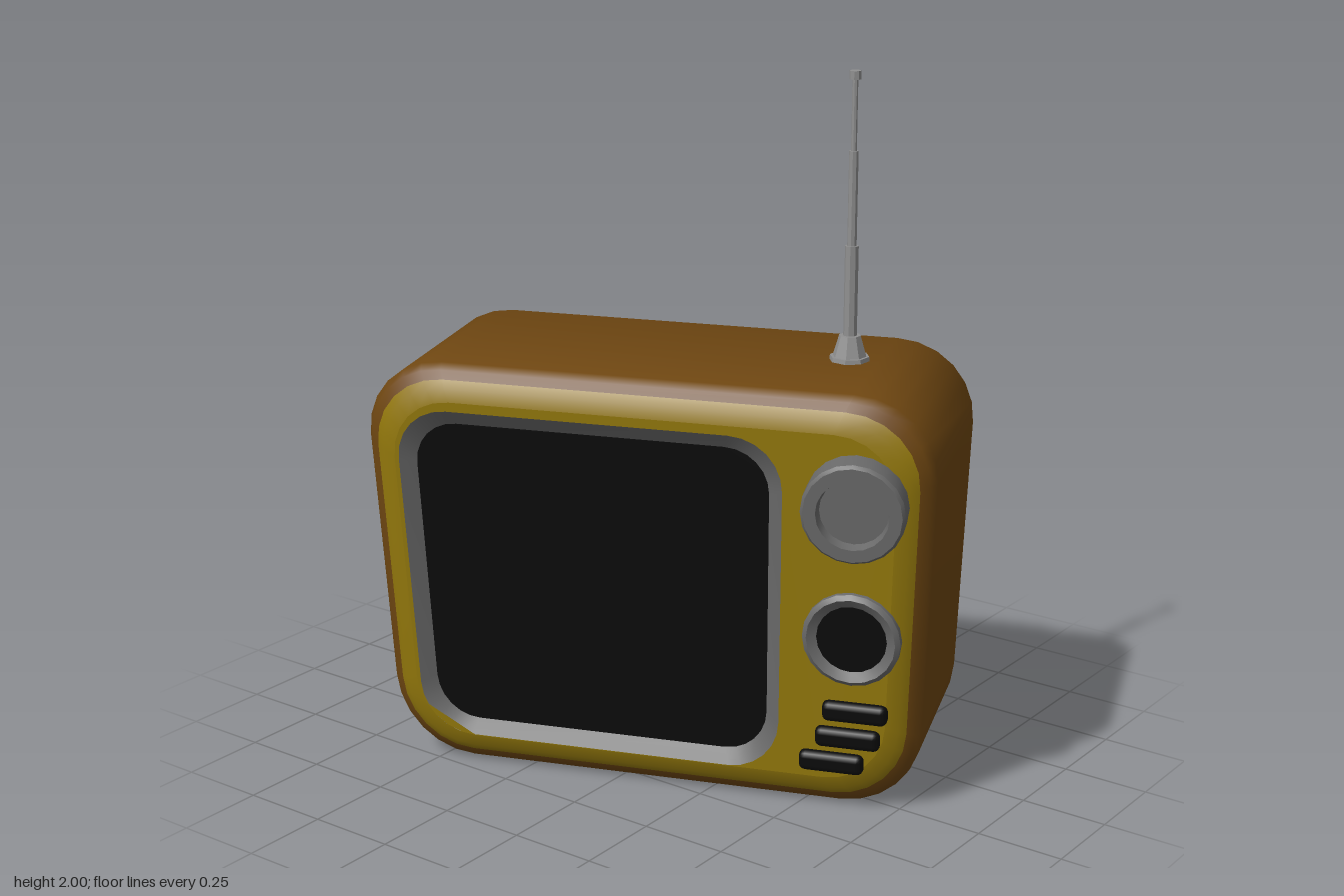
import * as THREE from 'three';
import { toCreasedNormals } from 'three/addons/utils/BufferGeometryUtils.js';
import { RoundedBoxGeometry } from 'three/addons/geometries/RoundedBoxGeometry.js';

const mat = (name, color) => Object.assign(new THREE.MeshStandardMaterial({ color }), { name });
const CORNER = 6;

// Rounded rectangle as a counter-clockwise list of points
function ring([x0, x1, y0, y1, r]) {
  const pts = [];
  const centres = [[x1 - r, y1 - r], [x0 + r, y1 - r], [x0 + r, y0 + r], [x1 - r, y0 + r]];
  centres.forEach(([cx, cy], q) => {
    for (let i = 0; i <= CORNER; i++) {
      const a = (q + i / CORNER) * Math.PI / 2;
      pts.push(new THREE.Vector2(cx + r * Math.cos(a), cy + r * Math.sin(a)));
    }
  });
  return pts;
}

const inset = ([x0, x1, y0, y1, r], d) => [x0 + d, x1 - d, y0 + d, y1 - d, Math.max(r - d * 0.6, 0.04)];

// Narrows the cabinet towards the base and leans its front forward at the top
function warp(geo) {
  const p = geo.attributes.position;
  for (let i = 0; i < p.count; i++) {
    const y = p.getY(i), z = p.getZ(i);
    p.setX(i, p.getX(i) * (1 + (y - 1) * 0.05));
    p.setZ(i, z + (y - 0.95) * 0.07 * THREE.MathUtils.clamp(z / 0.32, 0, 1));
  }
  geo.computeVertexNormals();
  return geo;
}

// Skin through rounded rectangles; sections are [z, rectangle], back to front
function loft(sections, capBack = false) {
  const pos = [], idx = [];
  const n = 4 * (CORNER + 1);
  for (const [z, rect] of sections) for (const v of ring(rect)) pos.push(v.x, v.y, z);
  for (let s = 0; s < sections.length - 1; s++) {
    for (let i = 0; i < n; i++) {
      const a = s * n + i, b = s * n + (i + 1) % n;
      idx.push(a, b, b + n, a, b + n, a + n);
    }
  }
  if (capBack) for (let i = 1; i < n - 1; i++) idx.push(0, i + 1, i);
  const geo = new THREE.BufferGeometry();
  geo.setAttribute('position', new THREE.Float32BufferAttribute(pos, 3));
  geo.setIndex(idx);
  return toCreasedNormals(warp(geo), 0.75);
}

// Flat plate facing forward, optionally with a hole
function plate(rect, z, hole) {
  const shape = new THREE.Shape(ring(rect));
  if (hole) shape.holes.push(new THREE.Path(ring(hole)));
  return warp(new THREE.ShapeGeometry(shape).translate(0, 0, z));
}

// Turned part whose axis points forward
function turned(profile, sides = 20) {
  const geo = new THREE.LatheGeometry(profile.map(([x, y]) => new THREE.Vector2(x, y)), sides);
  return toCreasedNormals(geo.rotateX(Math.PI / 2), 0.6);
}

export function createModel() {
  const brown = mat('brown casing', 0x6e4611);
  const yellow = mat('mustard panel', 0x94790c);
  const darkGrey = mat('dark grey trim', 0x6a6a6a);
  const silver = mat('silver antenna', 0x909090);
  const black = mat('black', 0x0b0b0b);

  const model = new THREE.Group();
  const set = new THREE.Group();
  set.name = 'television';
  set.rotation.y = THREE.MathUtils.degToRad(-69.4);
  model.add(set);
  const add = (name, geo, material, parent = set) => {
    const m = new THREE.Mesh(geo, material);
    m.name = name;
    parent.add(m);
    return m;
  };

  // Cabinet
  const body = [-0.812, 0.788, 0.003, 1.205, 0.23];
  add('cabinet', loft([
    [-0.32, inset(body, 0.12)], [-0.307, inset(body, 0.055)], [-0.285, inset(body, 0.015)],
    [-0.255, body], [0.31, body], [0.338, inset(body, 0.015)], [0.352, inset(body, 0.038)],
  ], true), brown);

  // Raised tube housing on the back
  const hump = [-0.635, 0.635, 0.125, 1.085, 0.19];
  add('backHousing', loft([
    [-0.452, inset(hump, 0.14)], [-0.44, inset(hump, 0.085)], [-0.41, inset(hump, 0.035)],
    [-0.37, inset(hump, 0.006)], [-0.335, hump], [-0.3, inset(hump, -0.02)],
  ], true), brown);

  // Front panel with a soft edge and an opening for the screen
  const frame = [-0.705, 0.385, 0.1, 1.083, 0.15];
  add('panelEdge', loft([
    [0.352, inset(body, 0.038)], [0.37, inset(body, 0.06)], [0.379, inset(body, 0.095)],
  ]), yellow);
  add('frontPanel', plate(inset(body, 0.095), 0.379, frame), yellow);

  // Screen set back in a sloping frame
  add('screenFrame', loft([[0.379, frame], [0.351, inset(frame, 0.042)]]), darkGrey);
  add('screen', plate(inset(frame, 0.042), 0.351), black);

  // Controls follow the lean of the panel
  const control = (name, x, y) => {
    const g = new THREE.Group();
    g.name = name;
    g.position.set(x, y, 0.379 + (y - 0.95) * 0.07);
    g.rotation.x = 0.07;
    set.add(g);
    return g;
  };

  const upper = control('upperKnob', 0.585, 0.92);
  upper.rotation.y = 0.06;
  add('knob', turned([
    [0.14, -0.03], [0.14, 0.07], [0.132, 0.08], [0.098, 0.08], [0.092, 0.05], [0, 0.05],
  ]), darkGrey, upper);

  const lower = control('lowerDial', 0.575, 0.53);
  add('dialRing', turned([[0.135, -0.02], [0.135, 0.014], [0.122, 0.024], [0.095, 0.008]]), darkGrey, lower);
  add('dialFace', new THREE.CircleGeometry(0.098, 20).translate(0, 0, 0.009), black, lower);

  [[0.585, 0.31], [0.565, 0.23], [0.52, 0.152]].forEach(([x, y]) => {
    add('button', new RoundedBoxGeometry(0.18, 0.058, 0.05, 2, 0.018), black, control('pushButton', x, y));
  });

  // Telescopic antenna: [bottom radius, top radius, from y, to y]
  const antenna = new THREE.Group();
  antenna.name = 'antenna';
  antenna.position.set(0.48, 0, 0.002);
  set.add(antenna);
  [
    ['antennaFoot', 0.058, 0.055, 1.195, 1.217], ['antennaCone', 0.047, 0.03, 1.217, 1.275],
    ['lowerRod', 0.019, 0.019, 1.27, 1.525], ['middleRod', 0.013, 0.013, 1.525, 1.785],
    ['upperRod', 0.008, 0.008, 1.785, 1.98], ['antennaTip', 0.016, 0.016, 1.977, 2],
  ].forEach(([name, r0, r1, y0, y1]) => {
    const geo = new THREE.CylinderGeometry(r1, r0, y1 - y0, 8).translate(0, (y0 + y1) / 2, 0);
    add(name, toCreasedNormals(geo, 0.3), silver, antenna);
  });

  return model;
}
